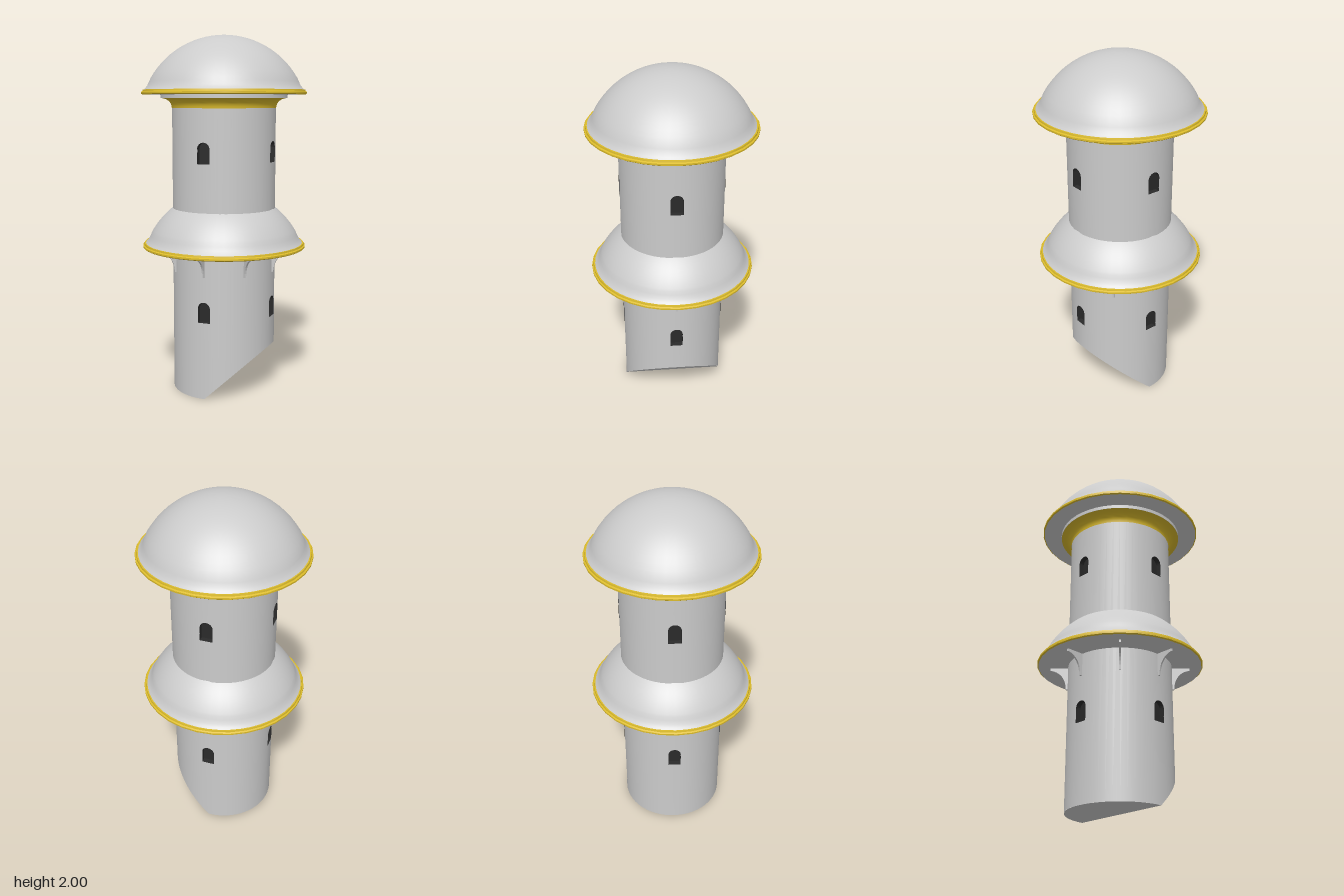
import * as THREE from 'three';
import { mergeGeometries, toCreasedNormals } from 'three/addons/utils/BufferGeometryUtils.js';

const R = 0.29;              // tower radius
const WIN = 0.0355;          // half width of a window
const SILLS = [0.435, 1.306];
const grey = new THREE.MeshStandardMaterial({ color: 0xcccccc });
const gold = new THREE.MeshStandardMaterial({ color: 0xdcbc2c });
const dark = new THREE.MeshStandardMaterial({ color: 0x2a2a2a, side: THREE.BackSide });

// The base is cut off at a slant on the +x side
const baseY = (x) => Math.max(0, x * 0.27 / R);

function add(parent, name, geometry, material) {
  const mesh = new THREE.Mesh(geometry, material);
  mesh.name = name;
  parent.add(mesh);
  return mesh;
}

function lathe(points, segments = 32, crease = 0.5) {
  const profile = points.map(([r, y]) => new THREE.Vector2(r, y));
  return toCreasedNormals(new THREE.LatheGeometry(profile, segments), crease);
}

// Arched window outline, used for holes and for niches
function windowOutline(path, cx, sill) {
  path.moveTo(cx - WIN, sill);
  path.lineTo(cx + WIN, sill);
  path.lineTo(cx + WIN, sill + 0.08);
  path.absarc(cx, sill + 0.08, WIN, 0, Math.PI, false);
  path.closePath();
  return path;
}

// One upright strip of wall between two angles, bent onto the cylinder
function wallStrip(a0, a1, hasWindows) {
  const top = 1.66, mid = (a0 + a1) / 2;
  const at = (a, y) => new THREE.Vector2(a * R, y);
  const low = (a) => at(a, baseY(R * Math.sin(a)));
  const shape = new THREE.Shape([low(a0), low(mid), low(a1), at(a1, top), at(mid, top), at(a0, top)]);
  if (hasWindows) for (const sill of SILLS) shape.holes.push(windowOutline(new THREE.Path(), mid * R, sill));
  const geo = new THREE.ShapeGeometry(shape, 6);
  const p = geo.attributes.position, n = geo.attributes.normal;
  for (let i = 0; i < p.count; i++) {
    const a = p.getX(i) / R;
    p.setXYZ(i, R * Math.sin(a), p.getY(i), R * Math.cos(a));
    n.setXYZ(i, Math.sin(a), 0, Math.cos(a));
  }
  return geo;
}

function towerWall() {
  const half = 0.15, count = 10, step = (Math.PI / 2 - 2 * half) / count;
  const strips = [];
  for (let q = 0; q < 4; q++) {
    const centre = q * Math.PI / 2;
    strips.push(wallStrip(centre - half, centre + half, true));
    for (let i = 0; i < count; i++) {
      const a = centre + half + i * step;
      strips.push(wallStrip(a, a + step, false));
    }
  }
  return mergeGeometries(strips);
}

function slantedBase() {
  const geo = new THREE.CircleGeometry(R, 48).rotateX(Math.PI / 2).toNonIndexed();
  const p = geo.attributes.position;
  for (let i = 0; i < p.count; i++) p.setY(i, baseY(p.getX(i)));
  geo.computeVertexNormals();
  return geo;
}

// Roof profile above the eave: flared foot, then a spherical cap down to radius rMin
function roofProfile(rMin) {
  const sphereR = 0.47, centreY = -0.145;
  const points = [[0.448, 0.024], [0.436, 0.036], [0.426, 0.05], [0.416, 0.07]];
  const a0 = Math.asin(0.408 / sphereR), a1 = Math.asin(rMin / sphereR);
  for (let i = 0; i <= 14; i++) {
    const a = a0 + (a1 - a0) * i / 14;
    points.push([sphereR * Math.sin(a), centreY + sphereR * Math.cos(a)]);
  }
  return points;
}

function roof(name, y, rMin) {
  const group = new THREE.Group();
  group.name = name;
  group.position.y = y;
  add(group, name + 'Shell', lathe(roofProfile(rMin), 48, 0.6), grey);
  add(group, name + 'Underside', lathe([[0.27, 0], [0.456, 0]]), grey);
  add(group, name + 'GoldRim', lathe([[0.456, 0], [0.463, 0.005], [0.463, 0.014], [0.455, 0.018], [0.453, 0.027], [0.444, 0.027], [0.44, 0.015]]), gold);
  return group;
}

export function createModel() {
  const model = new THREE.Group();
  model.name = 'tower';

  add(model, 'towerWall', towerWall(), grey);
  add(model, 'slantedBase', slantedBase(), grey);

  // Dark window niches on the four sides, seen from within
  for (let q = 0; q < 4; q++) for (const sill of SILLS) {
    const niche = new THREE.ExtrudeGeometry(windowOutline(new THREE.Shape(), 0, sill),
      { depth: 0.03, bevelEnabled: false, curveSegments: 6 });
    niche.translate(0, 0, R - 0.03).rotateY(q * Math.PI / 2);
    add(model, 'windowNiche', niche, dark);
  }

  // Middle skirt roof and top dome
  model.add(roof('skirtRoof', 0.817, R - 0.005));
  model.add(roof('dome', 1.675, 0));

  // Curved brackets under the skirt roof
  const side = new THREE.Shape();
  side.moveTo(R - 0.01, 0.69);
  side.lineTo(R + 0.01, 0.69);
  side.quadraticCurveTo(R + 0.015, 0.79, 0.39, 0.803);
  side.lineTo(0.39, 0.818);
  side.lineTo(R - 0.01, 0.818);
  const bracket = new THREE.ExtrudeGeometry(side, { depth: 0.01, bevelEnabled: false, curveSegments: 8 });
  bracket.translate(0, 0, -0.005);
  for (let i = 0; i < 8; i++) add(model, 'bracket', bracket, grey).rotation.y = i * Math.PI / 4;

  // Gold cove and grey band below the dome
  const cove = [];
  for (let i = 0; i <= 8; i++) {
    const a = i / 8 * Math.PI / 2;
    cove.push([0.352 - 0.06 * Math.cos(a), 1.602 + 0.053 * Math.sin(a)]);
  }
  add(model, 'goldCove', lathe(cove, 48), gold);
  add(model, 'neckBand', lathe([[0.345, 1.655], [0.353, 1.655], [0.353, 1.676]], 48), grey);

  return model;
}
